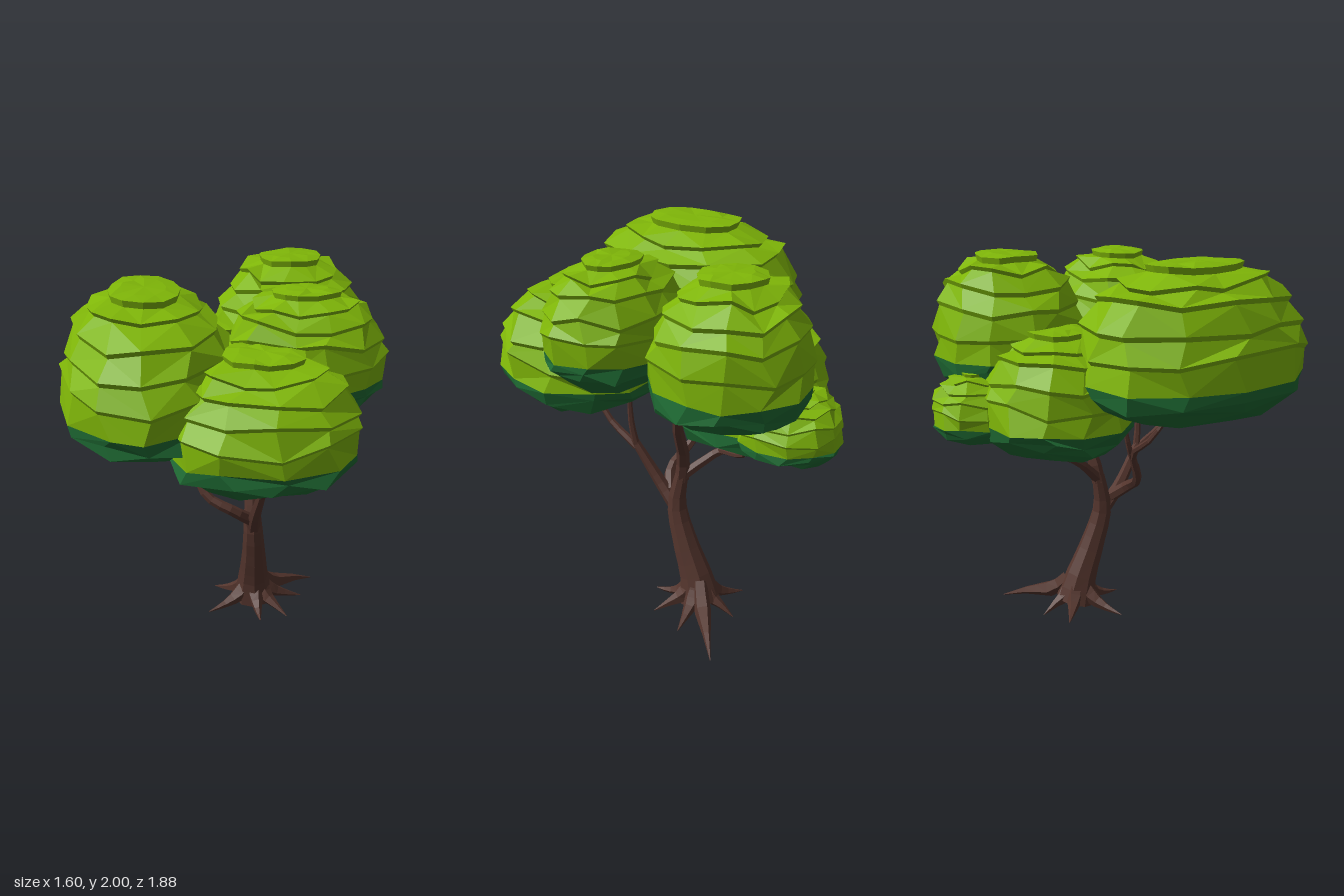
import * as THREE from 'three';

const leaf = new THREE.MeshStandardMaterial({ color: 0x7fb608 });
const shade = new THREE.MeshStandardMaterial({ color: 0x1f6c34 });
const bark = new THREE.MeshStandardMaterial({ color: 0x54352d });
leaf.name = 'leafGreen';
shade.name = 'deepGreen';
bark.name = 'barkBrown';

// Small seeded random
function seeded(seed) {
  let s = seed;
  return () => (s = (s * 16807) % 2147483647) / 2147483647;
}

// Faceted skin between stacked rings of points
function skin(rings, name, material) {
  const pos = [];
  const n = rings[0].length;
  for (let k = 0; k + 1 < rings.length; k++) {
    for (let i = 0; i < n; i++) {
      const j = (i + 1) % n, a = rings[k], b = rings[k + 1];
      const quad = (i + k) % 2
        ? [a[i], b[i], a[j], a[j], b[i], b[j]]
        : [a[i], b[i], b[j], a[i], b[j], a[j]];
      quad.forEach(p => pos.push(p.x, p.y, p.z));
    }
  }
  const g = new THREE.BufferGeometry();
  g.setAttribute('position', new THREE.Float32BufferAttribute(pos, 3));
  g.computeVertexNormals();
  const m = new THREE.Mesh(g, material);
  m.name = name;
  return m;
}

// Crown profile: [height, radius, band]; a shared band keeps both ledge edges wavy together
const under = [[0.1, 0, 0], [0.05, 0.4, 1], [0.03, 0.68, 2], [0.11, 0.89, 3], [0.16, 0.95, 4], [0.25, 0.97, 5]];
const upper = [
  [0.25, 0.97, 5], [0.42, 0.96, 6], [0.45, 0.99, 6], [0.6, 0.905, 7], [0.635, 0.935, 7],
  [0.75, 0.79, 8], [0.785, 0.82, 8], [0.865, 0.61, 9], [0.895, 0.64, 9],
  [0.94, 0.39, 10], [0.985, 0.41, 10], [1.0, 0.25, 11], [1.0, 0, 12],
];

// Leaf clump: centre x, z, radii rx, rz, bottom and top heights
function clump(name, x, z, rx, rz, y0, y1, seed) {
  const rand = seeded(seed * 7919 + 13);
  for (let i = 0; i < 5; i++) rand();
  const n = 12, h = y1 - y0, turn = rand() * 6;
  const wave = b => (b === 0 || b === 12 ? 0 : b === 5 ? 0.025 : b > 9 ? 0.012 : 0.06);
  const waves = Array.from({ length: 13 }, (_, b) => Array.from({ length: n }, () => ({
    dy: (rand() - 0.5) * wave(b),
    dr: 1 + (rand() - 0.5) * 0.08,
    da: (rand() - 0.5) * 0.2,
  })));
  const ring = ([t, r, b]) => waves[b].map((w, i) => {
    const a = turn + (i / n) * Math.PI * 2 + w.da;
    const f = r * w.dr * (1 + 0.05 * Math.sin(2 * a) ** 2);
    return new THREE.Vector3(
      x + Math.cos(a) * rx * f,
      y0 + h * t + w.dy * Math.min(1, h / 0.6),
      z + Math.sin(a) * rz * f);
  });
  const g = new THREE.Group();
  g.name = name;
  g.add(skin(under.map(ring), name + 'Underside', shade), skin(upper.map(ring), name + 'Top', leaf));
  return g;
}

// Tapered limb following a smooth path
function limb(name, points, radii, sides = 6, seg = 8) {
  const curve = new THREE.CatmullRomCurve3(points.map(p => new THREE.Vector3(...p)));
  let g = new THREE.TubeGeometry(curve, seg, 1, sides, false);
  const p = g.attributes.position, v = new THREE.Vector3();
  for (let k = 0; k <= seg; k++) {
    const c = curve.getPointAt(k / seg);
    const f = (k / seg) * (radii.length - 1), i = Math.min(Math.floor(f), radii.length - 2);
    const r = THREE.MathUtils.lerp(radii[i], radii[i + 1], f - i);
    for (let s = 0; s <= sides; s++) {
      const q = k * (sides + 1) + s;
      v.fromBufferAttribute(p, q).sub(c).multiplyScalar(r).add(c);
      p.setXYZ(q, v.x, v.y, v.z);
    }
  }
  g = g.toNonIndexed();
  g.computeVertexNormals();
  const m = new THREE.Mesh(g, bark);
  m.name = name;
  return m;
}

export function createModel() {
  const tree = new THREE.Group();
  tree.name = 'tree';

  // Leaf clumps
  tree.add(
    clump('rightCrown', -0.385, 0.19, 0.425, 0.61, 1.25, 2.0, 1),
    clump('backLeftCrown', 0.4, -0.45, 0.4, 0.385, 1.31, 2.0, 2),
    clump('leftCrown', 0.39, 0.2, 0.4, 0.315, 1.39, 1.98, 3),
    clump('frontCrown', 0.155, 0.51, 0.475, 0.44, 1.15, 1.77, 4),
    clump('backCrown', 0.01, -0.37, 0.4, 0.38, 1.04, 1.66, 5),
    clump('smallBackCrown', 0.24, -0.68, 0.23, 0.26, 1.09, 1.44, 6),
  );

  // Trunk
  tree.add(limb('trunk',
    [[0.2, 0.07, -0.18], [0.193, 0.2, -0.15], [0.185, 0.4, -0.075], [0.173, 0.6, -0.02], [0.165, 0.8, -0.05]],
    [0.11, 0.08, 0.063, 0.05, 0.035], 8, 10));

  // Main limb to the back left crown
  tree.add(limb('mainLimb',
    [[0.165, 0.75, -0.045], [0.19, 0.9, -0.07], [0.35, 1.18, -0.13], [0.41, 1.48, -0.23]], [0.037, 0.028, 0.012]));

  // Front branch and its fork
  tree.add(
    limb('frontBranch', [[0.175, 0.58, -0.02], [0.17, 0.7, 0.08], [0.195, 0.92, 0.22]], [0.04, 0.022]),
    limb('frontTwigOuter', [[0.195, 0.89, 0.21], [0.19, 1.04, 0.4], [0.185, 1.3, 0.48]], [0.022, 0.009]),
    limb('frontTwigInner', [[0.195, 0.89, 0.21], [0.21, 1.03, 0.23], [0.225, 1.28, 0.23]], [0.02, 0.009]),
  );

  // Right branch and its fork
  tree.add(
    limb('rightBranch', [[0.16, 0.66, 0.03], [0.06, 0.74, 0.08], [-0.08, 0.82, 0.05], [-0.14, 0.93, 0]], [0.034, 0.02]),
    limb('rightTwigOuter', [[-0.13, 0.9, 0.01], [-0.17, 1, -0.03], [-0.34, 1.12, -0.03], [-0.42, 1.36, 0.12]], [0.02, 0.009]),
    limb('rightTwigInner', [[-0.13, 0.91, 0.01], [-0.165, 1.03, -0.05], [-0.17, 1.25, -0.1]], [0.018, 0.009]),
  );

  // Back branch and its twigs
  tree.add(
    limb('backBranch', [[0.17, 0.77, -0.05], [0.07, 0.91, -0.21], [0.05, 1.03, -0.42], [0.1, 1.09, -0.6], [0.18, 1.2, -0.68]], [0.03, 0.008]),
    limb('backTwigLeft', [[0.07, 0.92, -0.22], [0.21, 1.02, -0.44], [0.22, 1.22, -0.45]], [0.018, 0.008]),
    limb('backTwigRight', [[0.06, 0.93, -0.24], [0.055, 1.03, -0.26], [0.06, 1.2, -0.3]], [0.016, 0.008]),
  );

  // Roots spreading from the trunk foot
  const tips = [[0.58, 0.01, -0.45], [0.48, 0.04, -0.2], [0.37, 0.03, 0.01], [0.21, 0.06, 0.09],
    [-0.07, 0.05, -0.04], [-0.01, 0.05, -0.33], [0.2, 0.02, -0.38]];
  tips.forEach(([x, y, z], i) => {
    const at = (f, h) => [0.2 + (x - 0.2) * f, h, -0.17 + (z + 0.17) * f];
    tree.add(limb('root' + (i + 1), [at(0.1, 0.2), at(0.3, 0.115), at(0.65, 0.07), at(1, y)],
      [0.04, 0.046, 0.022, 0.002], 5, 6));
  });
  return tree;
}
